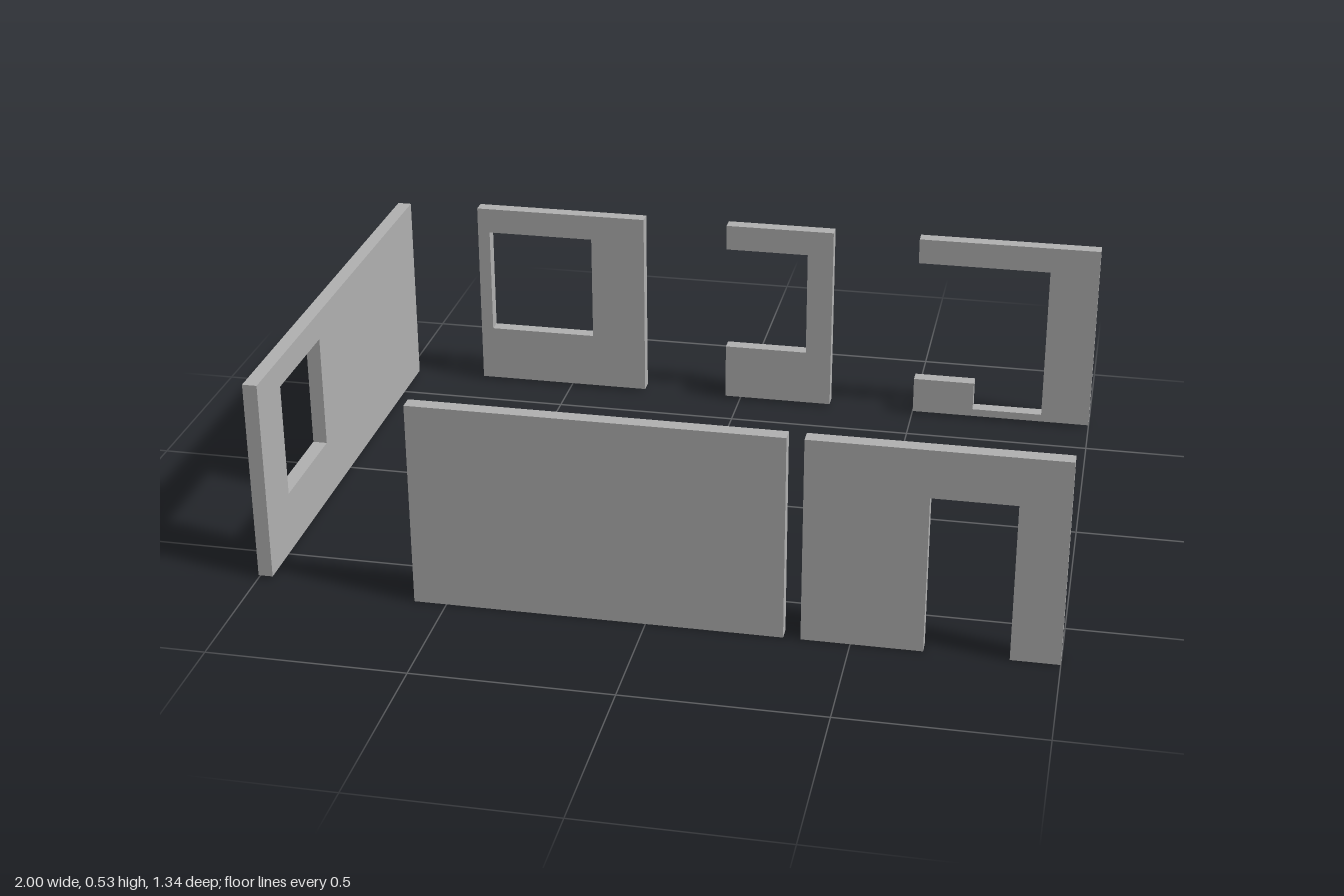
import * as THREE from 'three';

const THICK = 0.037;
const TOP = 0.533;
const BASE = 0.007;
const SILL = 0.163;
const LINTEL = 0.462;

const plaster = new THREE.MeshStandardMaterial({ color: 0xb2b2b2 });
plaster.name = 'grey plaster';

const rect = (x0, y0, x1, y1) => [[x0, y0], [x1, y0], [x1, y1], [x0, y1]];
const toPoints = (list) => list.map(([x, y]) => new THREE.Vector2(x, y));

// A wall slab: an outline in the wall's plane, with optional openings
function slab(name, outline, holes = []) {
  const shape = new THREE.Shape(toPoints(outline));
  holes.forEach((h) => shape.holes.push(new THREE.Path(toPoints(h))));
  const geometry = new THREE.ExtrudeGeometry(shape, { depth: THICK, bevelEnabled: false });
  const mesh = new THREE.Mesh(geometry, plaster);
  mesh.name = name;
  return mesh;
}

export function createModel() {
  const model = new THREE.Group();
  model.name = 'wallPanels';

  // Front: one plain panel and one with a doorway open at the floor
  const front = new THREE.Group();
  front.name = 'frontWall';
  front.position.z = 0.635;
  front.add(
    slab('plainPanel', rect(-0.582, 0, 0.338, TOP)),
    slab('doorPanel', [
      [0.38, 0], [0.675, 0], [0.675, 0.41], [0.88, 0.41],
      [0.88, 0], [1, 0], [1, TOP], [0.38, TOP],
    ]),
  );

  // Back: a window panel and two panels with openings cut through their edge
  const back = new THREE.Group();
  back.name = 'backWall';
  back.position.z = -0.635 - THICK;
  back.add(
    slab('backWindowPanel', rect(-0.766, BASE, -0.28, TOP), [rect(-0.732, SILL, -0.433, LINTEL)]),
    slab('bracketPanel', [
      [-0.042, BASE], [0.262, BASE], [0.262, TOP], [-0.042, TOP],
      [-0.042, LINTEL], [0.19, LINTEL], [0.19, SILL], [-0.042, SILL],
    ]),
    slab('steppedPanel', [
      [0.502, BASE], [1, BASE], [1, TOP], [0.502, TOP], [0.502, LINTEL],
      [0.866, LINTEL], [0.866, 0.028], [0.672, 0.028], [0.672, 0.108], [0.502, 0.108],
    ]),
  );

  // Side: long wall with a square window, turned to run along z
  const side = slab('sideWindowWall', rect(-0.635, BASE, 0.632, TOP), [rect(0.183, SILL, 0.48, LINTEL)]);
  side.rotation.y = -Math.PI / 2;
  side.position.x = -1 + THICK;

  model.add(front, back, side);
  return model;
}
